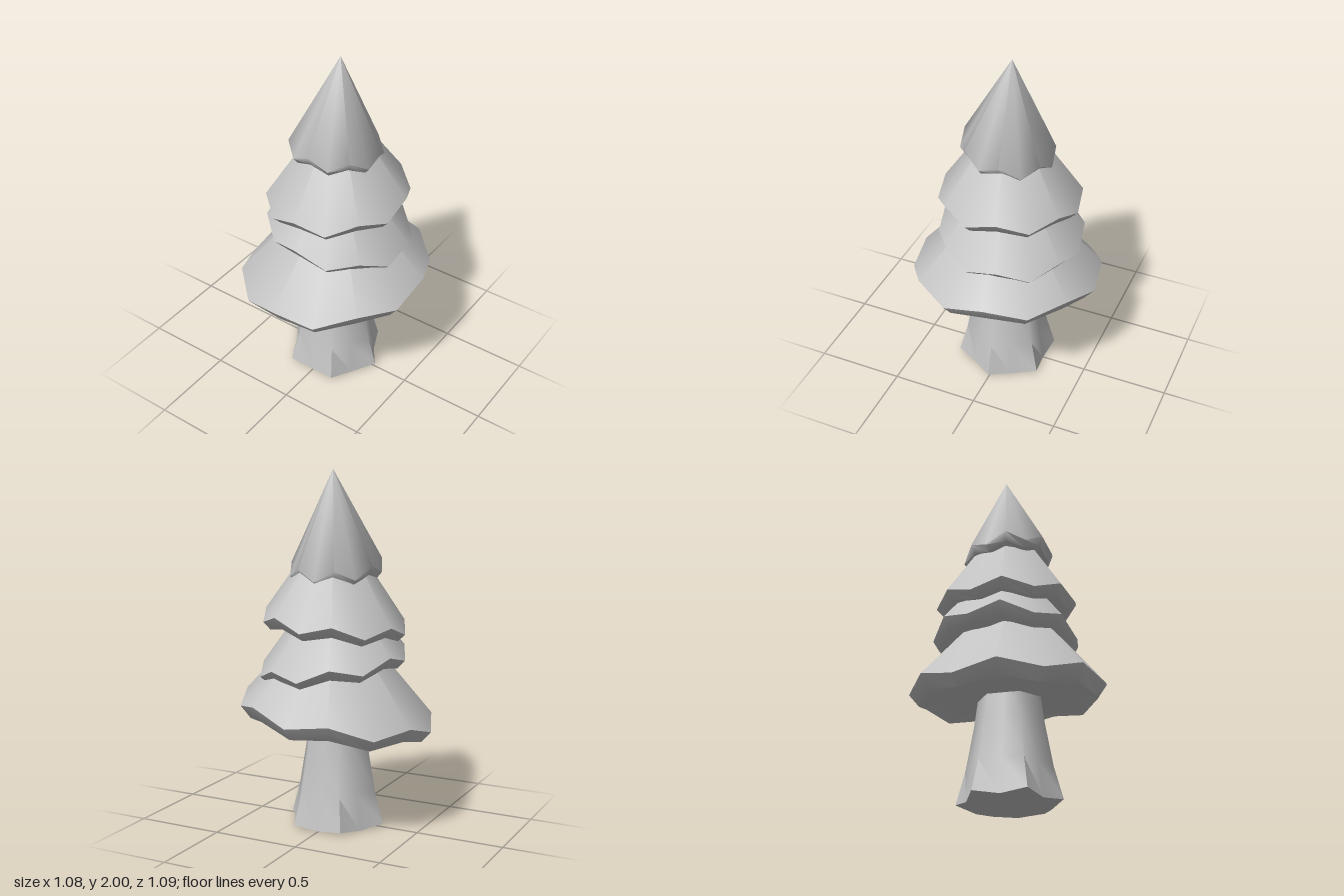
import * as THREE from 'three';
import { toCreasedNormals } from 'three/addons/utils/BufferGeometryUtils.js';

// Skin rings of points, listed from top to bottom, into one closed surface
function loft(sides, rings) {
  const positions = [];
  const index = [];
  rings.forEach((ring, k) => {
    for (let i = 0; i < sides; i++) {
      positions.push(...ring(i, (i / sides) * Math.PI * 2));
      if (k === rings.length - 1) continue;
      const j = (i + 1) % sides;
      const a = k * sides + i, b = k * sides + j;
      index.push(a, a + sides, b + sides, a, b + sides, b);
    }
  });
  const geometry = new THREE.BufferGeometry();
  geometry.setAttribute('position', new THREE.Float32BufferAttribute(positions, 3));
  geometry.setIndex(index);
  return toCreasedNormals(geometry, 1.1);
}

// A tilted cone of foliage: zigzag rim, folded lip and sunken underside
function foliageTier({ apex, x, z, radius, y, tiltX, tiltZ, zigzag, lip, turn }) {
  const rim = (r, drop, wave) => (i, angle) => {
    const dx = Math.sin(angle + turn) * r;
    const dz = Math.cos(angle + turn) * r;
    return [x + dx, y - drop + tiltX * dx + tiltZ * dz + (i % 2 ? -wave : wave), z + dz];
  };
  return loft(14, [
    () => apex,
    rim(radius, 0, zigzag),
    rim(radius * 0.9, lip, zigzag * 0.7),
    rim(radius * 0.6, lip * 0.8, 0),
    () => [x, y - lip * 0.7, z],
  ]);
}

export function createModel() {
  const tree = new THREE.Group();
  tree.name = 'tree';
  const grey = new THREE.MeshStandardMaterial({ color: 0xc4c4c4 });
  grey.name = 'plain grey';

  const add = (name, geometry) => {
    const mesh = new THREE.Mesh(geometry, grey);
    mesh.name = name;
    tree.add(mesh);
  };

  // Trunk with six flared roots
  const trunkRing = (y, ridge, groove) => (i, angle) => {
    const r = i % 2 ? ridge : groove;
    // ridges at odd steps, which puts one on each side
    return [Math.sin(angle) * r, y, Math.cos(angle) * r];
  };
  add('trunk', loft(12, [
    () => [0, 0.64, 0],
    trunkRing(0.64, 0.17, 0.148),
    trunkRing(0.45, 0.195, 0.168),
    trunkRing(0.2, 0.24, 0.205),
    (i, angle) => trunkRing(i % 2 ? 0.02 : 0, 0.29, 0.235)(i, angle),
    () => [0, 0.02, 0],
  ]));

  // Foliage, from the bottom up
  const tiers = [
    { name: 'bottomFoliage', apex: [0.02, 1.3, 0], x: 0, z: 0, radius: 0.545, y: 0.655,
      tiltX: 0.11, tiltZ: -0.05, zigzag: 0.028, lip: 0.075, turn: -0.07 },
    { name: 'lowerFoliage', apex: [0, 1.5, -0.02], x: 0.01, z: -0.03, radius: 0.41, y: 0.94,
      tiltX: -0.11, tiltZ: 0.06, zigzag: 0.028, lip: 0.05, turn: -0.03 },
    { name: 'upperFoliage', apex: [0.01, 1.77, -0.02], x: 0.005, z: -0.02, radius: 0.4, y: 1.165,
      tiltX: 0.08, tiltZ: -0.03, zigzag: 0.028, lip: 0.05, turn: -0.02 },
    { name: 'topFoliage', apex: [0.01, 2, -0.03], x: 0.003, z: -0.005, radius: 0.258, y: 1.465,
      tiltX: 0, tiltZ: 0.12, zigzag: 0.028, lip: 0.04, turn: -0.02 },
  ];
  for (const tier of tiers) add(tier.name, foliageTier(tier));

  return tree;
}
